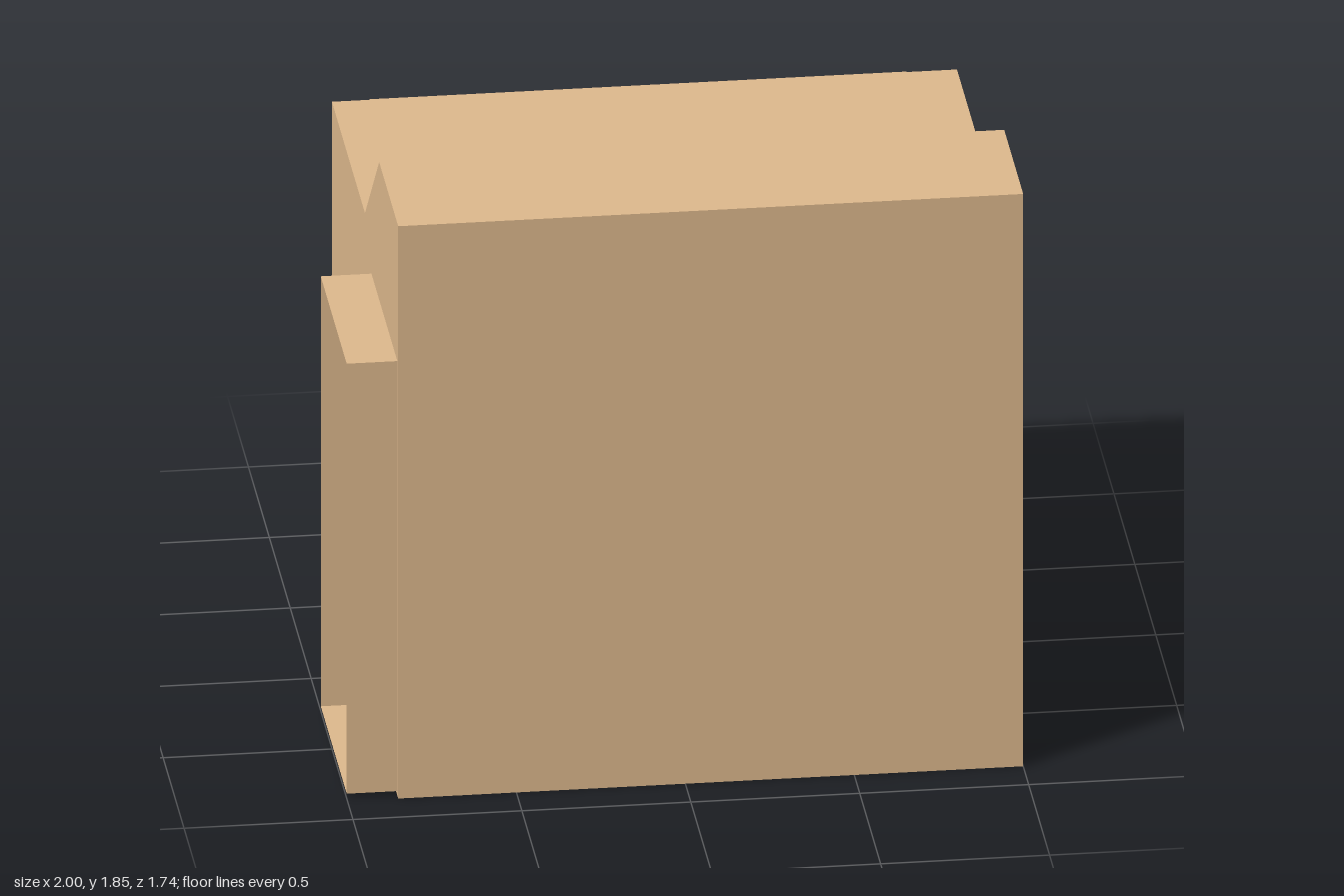
import * as THREE from 'three';

// Main extents of the hollow, thin-walled house
const X0 = -0.85, X1 = 1, ZB = -0.715, ZF = 0.87;

export function createModel() {
  const group = new THREE.Group();
  const material = new THREE.MeshStandardMaterial({
    color: 0xdeb98d, flatShading: true, side: THREE.DoubleSide,
  });

  function add(name, geometry) {
    const mesh = new THREE.Mesh(geometry, material);
    mesh.name = name;
    group.add(mesh);
    return mesh;
  }

  // Sweeps a path of points along a vector into a strip of flat quads
  function sweep(path, vector) {
    const points = [];
    for (let i = 0; i < path.length - 1; i++) {
      const a = path[i], b = path[i + 1];
      const c = b.clone().add(vector), d = a.clone().add(vector);
      points.push(a, d, c, a, c, b);
    }
    const geometry = new THREE.BufferGeometry().setFromPoints(points);
    geometry.computeVertexNormals();
    return geometry;
  }

  // Flat wall with an optional opening
  function wall(outline, opening) {
    const shape = new THREE.Shape(outline.map(([u, v]) => new THREE.Vector2(u, v)));
    if (opening) shape.holes.push(new THREE.Path(opening.map(([u, v]) => new THREE.Vector2(u, v))));
    return new THREE.ShapeGeometry(shape);
  }

  const rect = (u0, v0, u1, v1) => [[u0, v0], [u1, v0], [u1, v1], [u0, v1]];
  const closed = (list) => [...list, list[0]];

  // Side profile as (z, y): floor, front wall, high roof, slope, low roof
  const profile = [[ZB, 0], [ZF, 0], [ZF, 1.85], [0.415, 1.85], [0.075, 1.53], [ZB, 1.53]];
  const doorway = rect(0.23, 0.015, 0.85, 1.405);   // (z, y)
  const windowHole = rect(-0.72, 0.675, 0.87, 1.46); // (x, y)

  // Floor, front wall and stepped roof in one strip
  add('floorFrontAndRoof', sweep(
    profile.map(([z, y]) => new THREE.Vector3(X0, y, z)),
    new THREE.Vector3(X1 - X0, 0, 0)));

  // Side walls: the right one holds the doorway
  add('rightWall', wall(profile, doorway).rotateY(-Math.PI / 2)).position.x = X0;
  add('leftWall', wall(profile.map(([z, y]) => [-z, y])).rotateY(Math.PI / 2)).position.x = X1;

  // Back wall with the window opening, turned to face backwards
  const mirrorU = (list) => list.map(([u, v]) => [-u, v]);
  add('backWall', wall(mirrorU(rect(X0, 0, X1, 1.53)), mirrorU(windowHole)).rotateY(Math.PI))
    .position.z = ZB;

  // Open frames standing out around both openings
  add('doorFrame', sweep(
    closed(doorway).map(([z, y]) => new THREE.Vector3(-1, y, z)),
    new THREE.Vector3(X0 + 1, 0, 0)));
  add('windowFrame', sweep(
    closed(windowHole).reverse().map(([x, y]) => new THREE.Vector3(x, y, -0.87)),
    new THREE.Vector3(0, 0, ZB + 0.87)));

  return group;
}
